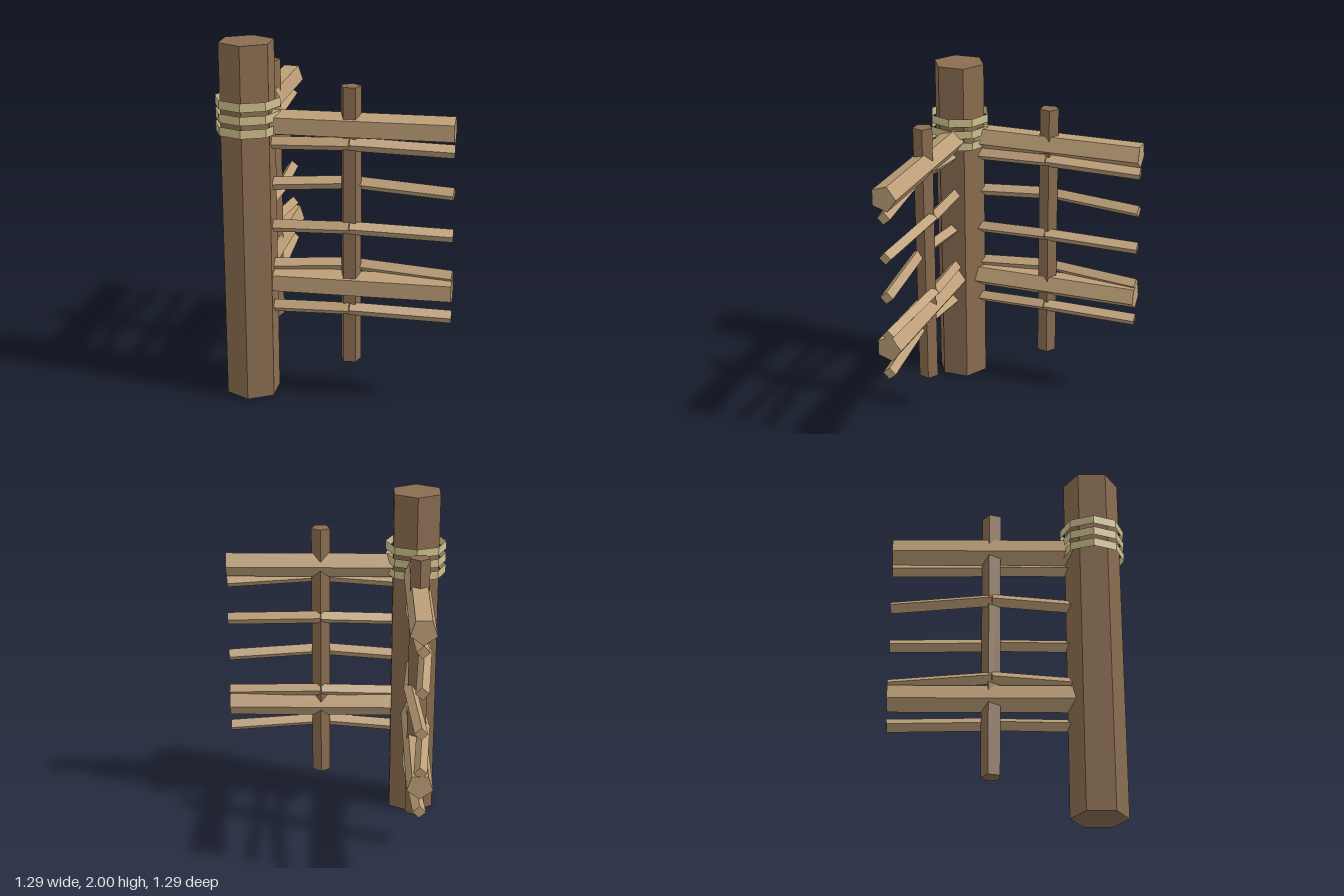
import * as THREE from 'three';

const mat = (name, color, extra = {}) => {
  const m = new THREE.MeshStandardMaterial({ color, flatShading: true, ...extra });
  m.name = name;
  return m;
};

export function createModel() {
  const group = new THREE.Group();
  const darkWood = mat('darkWood', 0x8a6d50);
  const lightWood = mat('lightWood', 0xbd9f78);
  const ropeTan = mat('ropeTan', 0xcfc08e, { side: THREE.DoubleSide });
  const up = new THREE.Vector3(0, 1, 0);

  // Straight faceted log from a to b
  function log(name, a, b, radius, sides, material, parent = group) {
    const dir = b.clone().sub(a);
    const geo = new THREE.CylinderGeometry(radius, radius, dir.length(), sides);
    geo.rotateY(Math.PI);
    const mesh = new THREE.Mesh(geo, material);
    mesh.name = name;
    mesh.position.copy(a).add(b).multiplyScalar(0.5);
    mesh.quaternion.setFromUnitVectors(up, dir.normalize());
    parent.add(mesh);
  }

  // Corner post
  const cx = -0.47, cz = 0.466;
  const V = (x, y, z) => new THREE.Vector3(x, y, z);
  log('cornerPost', V(cx, 0, cz), V(cx, 2, cz), 0.153, 6, darkWood);

  // Rope lashing: three open bands around the post
  for (let i = 0; i < 3; i++) {
    const band = new THREE.Mesh(new THREE.CylinderGeometry(0.178, 0.178, 0.049, 8, 1, true), ropeTan);
    band.name = 'ropeBand' + (i + 1);
    band.position.set(cx, 1.536 + i * 0.0715, cz);
    group.add(band);
  }

  // Two fence arms; at(along, y, out) gives a point on each arm
  const arms = [
    ['sideArm', (s, y, out) => V(cx + s, y, cz + out)],
    ['backArm', (s, y, out) => V(cx + out, y, cz - s)],
  ];
  const length = 1.11, mid = 0.556;
  for (const [name, at] of arms) {
    const arm = new THREE.Group();
    arm.name = name;
    group.add(arm);

    log('uprightPole', at(mid, 0.225, 0), at(mid, 1.78, 0), 0.057, 5, darkWood, arm);
    for (const y of [0.668, 1.56]) {
      log('beam', at(0, y, 0), at(length, y, 0), 0.0757, 5, lightWood, arm);
    }

    // Thin rails woven in front of and behind the pole
    for (let i = 0; i < 5; i++) {
      const y = 0.541 + i * 0.2335;
      const bend = at(mid, y, i % 2 ? -0.041 : 0.041);
      log('rail' + (i + 1) + 'Inner', at(0, y - 0.027, 0), bend, 0.037, 4, lightWood, arm);
      log('rail' + (i + 1) + 'Outer', bend, at(length, y - 0.027, 0), 0.037, 4, lightWood, arm);
    }
  }
  return group;
}
